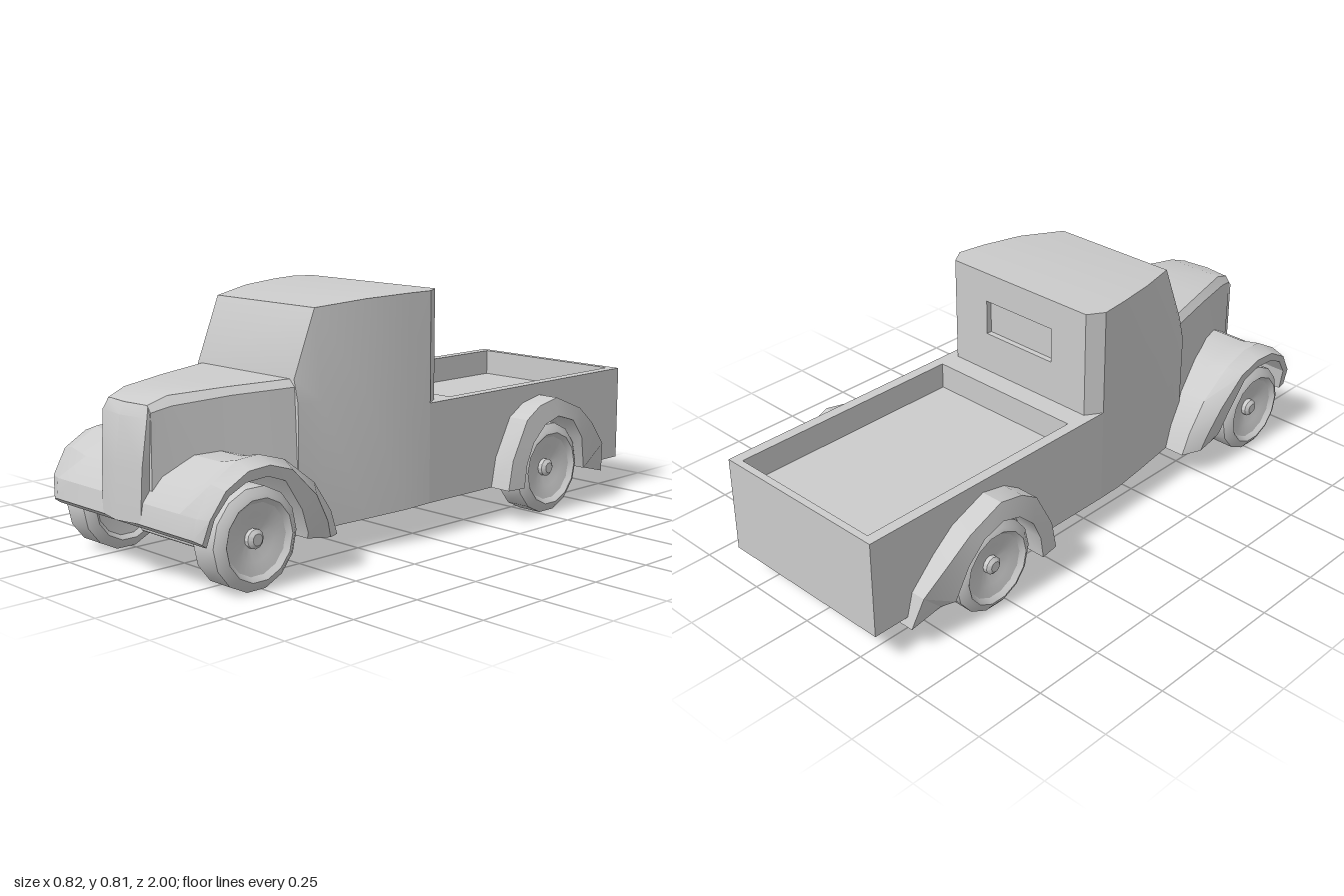
import * as THREE from 'three';
import { toCreasedNormals } from 'three/addons/utils/BufferGeometryUtils.js';

const grey = new THREE.MeshStandardMaterial({ color: 0xcccccc });

function part(name, geometry) {
  const mesh = new THREE.Mesh(geometry, grey);
  mesh.name = name;
  return mesh;
}

// Skin a row of closed cross-sections, cap the ends and face everything outward
function loft(rings, capStart = true) {
  const n = rings[0].length, pos = rings.flat(2), idx = [];
  for (let r = 0; r < rings.length - 1; r++) {
    for (let i = 0; i < n; i++) {
      const a = r * n + i, b = r * n + (i + 1) % n;
      idx.push(a, b, b + n, a, b + n, a + n);
    }
  }
  const cap = (r, flip) => {
    const c = pos.length / 3;
    for (let k = 0; k < 3; k++) pos.push(rings[r].reduce((s, p) => s + p[k], 0) / n);
    for (let i = 0; i < n; i++) {
      const a = r * n + i, b = r * n + (i + 1) % n;
      idx.push(c, ...(flip ? [b, a] : [a, b]));
    }
  };
  if (capStart) cap(0, true);
  cap(rings.length - 1, false);
  const at = (i) => new THREE.Vector3().fromArray(pos, i * 3);
  let volume = 0;
  const mid = at(pos.length / 3 - 1);
  for (let i = 0; i < idx.length; i += 3) {
    const [a, b, c] = [0, 1, 2].map((k) => at(idx[i + k]).sub(mid));
    volume += a.dot(b.cross(c));
  }
  if (volume < 0) idx.reverse();
  const g = new THREE.BufferGeometry();
  g.setAttribute('position', new THREE.Float32BufferAttribute(pos, 3));
  g.setIndex(idx);
  return toCreasedNormals(g, 0.45);
}

// Complete a half cross-section with its mirror image in x
const mirrored = (half) => [...half, ...half.slice().reverse().map(([x, y, z]) => [-x, y, z])];

function rod(name, a, b, radius) {
  const p = new THREE.Vector3(...a), q = new THREE.Vector3(...b);
  const mesh = part(name, new THREE.CylinderGeometry(radius, radius, p.distanceTo(q), 10));
  mesh.position.copy(p).add(q).multiplyScalar(0.5);
  mesh.quaternion.setFromUnitVectors(new THREE.Vector3(0, 1, 0), q.sub(p).normalize());
  return mesh;
}

function makeCab() {
  const cab = new THREE.Group();
  cab.name = 'cab';
  // z, bottom, top, width at base, width at roof
  const stations = [
    [-0.055, 0.40, 0.812, 0.29, 0.29], [0, 0.12, 0.812, 0.325, 0.325],
    [0.1, 0.115, 0.81, 0.318, 0.313], [0.25, 0.108, 0.803, 0.293, 0.285],
    [0.415, 0.1, 0.785, 0.262, 0.232], [0.5, 0.1, 0.575, 0.25, 0.232],
  ];
  cab.add(part('cabShell', loft(stations.map(([z, bot, top, wb, wt]) =>
    mirrored([[wb, bot, z], [wb, 0.5, z], [wt, top, z]])), false)));
  // Rear wall with a recessed window
  const wall = new THREE.Shape([[-0.29, 0.4], [0.29, 0.4], [0.29, 0.812], [-0.29, 0.812]]
    .map((p) => new THREE.Vector2(...p)));
  wall.holes.push(new THREE.Path([[-0.145, 0.59], [-0.145, 0.71], [0.145, 0.71], [0.145, 0.59]]
    .map((p) => new THREE.Vector2(...p))));
  cab.add(part('rearWall', new THREE.ShapeGeometry(wall).rotateY(Math.PI).translate(0, 0, -0.055)));
  const recess = new THREE.BoxGeometry(0.29, 0.12, 0.02).scale(-1, -1, -1);
  recess.computeVertexNormals();
  cab.add(part('rearWindowRecess', recess.translate(0, 0.65, -0.045)));
  return cab;
}

function makeHood() {
  const hood = new THREE.Group();
  hood.name = 'hood';
  // z, base width, base y, shoulder width, shoulder y, top width, top y
  const stations = [
    [0.49, 0.25, 0.25, 0.237, 0.552, 0.215, 0.575], [0.7, 0.19, 0.33, 0.18, 0.545, 0.158, 0.568],
    [0.88, 0.13, 0.33, 0.129, 0.53, 0.107, 0.558], [0.945, 0.11, 0.25, 0.112, 0.515, 0.096, 0.535],
  ];
  hood.add(part('bonnet', loft(stations.map(([z, wb, yb, ws, ys, wt, yt]) =>
    mirrored([[wb, yb, z], [ws, ys, z], [wt, yt, z]])))));
  // Slightly pointed nose: y, half width, side z, centre z
  const nose = [[0.187, 0.095, 0.978, 0.998], [0.35, 0.1, 0.972, 0.993],
    [0.5, 0.11, 0.957, 0.975], [0.535, 0.097, 0.943, 0.955]];
  hood.add(part('grille', loft(nose.map(([y, x, zs, zc]) =>
    [[x, y, zs], [0, y, zc], [-x, y, zs], [-x, y, zs - 0.03], [x, y, zs - 0.03]]))));
  return hood;
}

// Front fenders and apron share one arch: outer z, y, arch z, y, shoulder x, side x
function makeFrontFenders() {
  const stations = [
    [0.98, 0.187, 0.95, 0.165, 0.34, 0.37], [0.97, 0.25, 0.935, 0.25, 0.345, 0.39],
    [0.915, 0.34, 0.89, 0.31, 0.345, 0.4], [0.82, 0.395, 0.83, 0.34, 0.345, 0.403],
    [0.74, 0.4, 0.75, 0.345, 0.345, 0.403], [0.64, 0.37, 0.68, 0.32, 0.345, 0.4],
    [0.52, 0.28, 0.61, 0.22, 0.342, 0.393], [0.45, 0.18, 0.575, 0.14, 0.34, 0.38],
    [0.42, 0.1, 0.57, 0.12, 0.335, 0.37],
  ];
  return part('frontFenders', loft(stations.map(([pz, py, qz, qy, xs, xo]) => mirrored([
    [0.27, py - (py > 0.3 ? 0.017 : 0), pz], [xs, py, pz],
    [xo, py + (qy - py) * 0.4, pz + (qz - pz) * 0.4], [xo - 0.005, qy, qz],
  ]))));
}

function makeBed() {
  const bed = new THREE.Group();
  bed.name = 'bed';
  // Lower box with the wheel tunnel
  const side = new THREE.Shape([[0, 0.12], [0, 0.36], [-1, 0.36], [-1, 0.12], [-0.78, 0.12],
    [-0.73, 0.13], [-0.69, 0.25], [-0.63, 0.32], [-0.55, 0.345], [-0.48, 0.325], [-0.42, 0.27],
    [-0.39, 0.2], [-0.375, 0.12]].map((p) => new THREE.Vector2(...p)));
  bed.add(part('bedBase', new THREE.ExtrudeGeometry(side, { depth: 0.65, bevelEnabled: false })
    .rotateY(-Math.PI / 2).translate(0.325, 0, 0)));
  // Raised walls around the load floor
  const rect = (x, a, b) => [[-x, a], [x, a], [x, b], [-x, b]].map((p) => new THREE.Vector2(...p));
  const rim = new THREE.Shape(rect(0.325, 0, 1));
  rim.holes.push(new THREE.Path(rect(0.288, 0.13, 0.975)));
  bed.add(part('bedWalls', new THREE.ExtrudeGeometry(rim, { depth: 0.09, bevelEnabled: false })
    .rotateX(-Math.PI / 2).translate(0, 0.36, 0)));
  // Rear fenders: outer z, y, arch z, y, side x
  const stations = [
    [-0.305, 0.12, -0.375, 0.12, 0.412], [-0.325, 0.22, -0.387, 0.2, 0.412],
    [-0.395, 0.35, -0.42, 0.27, 0.412], [-0.46, 0.39, -0.48, 0.325, 0.412],
    [-0.55, 0.408, -0.55, 0.345, 0.412], [-0.68, 0.355, -0.63, 0.32, 0.412],
    [-0.76, 0.29, -0.69, 0.25, 0.405], [-0.85, 0.2, -0.73, 0.13, 0.385],
    [-0.88, 0.09, -0.77, 0.12, 0.36],
  ];
  for (const s of [1, -1]) {
    bed.add(part(s > 0 ? 'rearFenderLeft' : 'rearFenderRight', loft(stations.map(([pz, py, qz, qy, x]) =>
      [[0.3 * s, py, pz], [(x - 0.01) * s, py, pz], [x * s, qy, qz], [0.3 * s, qy, qz]]))));
  }
  return bed;
}

function makeWheel() {
  const wheel = new THREE.Group();
  const lathe = (points, sides) => toCreasedNormals(
    new THREE.LatheGeometry(points.map((p) => new THREE.Vector2(...p)), sides), 0.45);
  wheel.add(part('tyre', lathe([[0.11, -0.05], [0.125, -0.065], [0.138, -0.06], [0.157, -0.045],
    [0.157, 0.045], [0.138, 0.06], [0.125, 0.065], [0.11, 0.05]], 14)));
  wheel.add(part('wheelDisc', lathe([[0, -0.04], [0.118, -0.052], [0.118, 0.052], [0.07, 0.042],
    [0.035, 0.03], [0, 0.03]], 28)));
  wheel.add(part('hub', lathe([[0, 0.01], [0.03, 0.01], [0.03, 0.045], [0.018, 0.055], [0, 0.055]], 12)));
  return wheel;
}

function makeAxle(name, z) {
  const axle = new THREE.Group();
  axle.name = name;
  for (const s of [1, -1]) {
    const wheel = makeWheel();
    wheel.name = s > 0 ? 'wheelLeft' : 'wheelRight';
    wheel.position.set(0.32 * s, 0.157, z);
    wheel.rotation.z = -s * Math.PI / 2;
    axle.add(wheel);
    axle.add(rod('axleArm', [0.29 * s, 0.172, z], [0.175 * s, 0.085, z], 0.01));
    axle.add(rod('strut', [0.145 * s, 0.085, z], [0.145 * s, 0.36, z], 0.008));
  }
  axle.add(rod('axleBar', [-0.178, 0.085, z], [0.178, 0.085, z], 0.01));
  return axle;
}

export function createModel() {
  const truck = new THREE.Group();
  truck.name = 'pickupTruck';
  truck.add(makeCab(), makeHood(), makeFrontFenders(), makeBed());
  truck.add(makeAxle('frontAxle', 0.77), makeAxle('rearAxle', -0.55));
  return truck;
}
